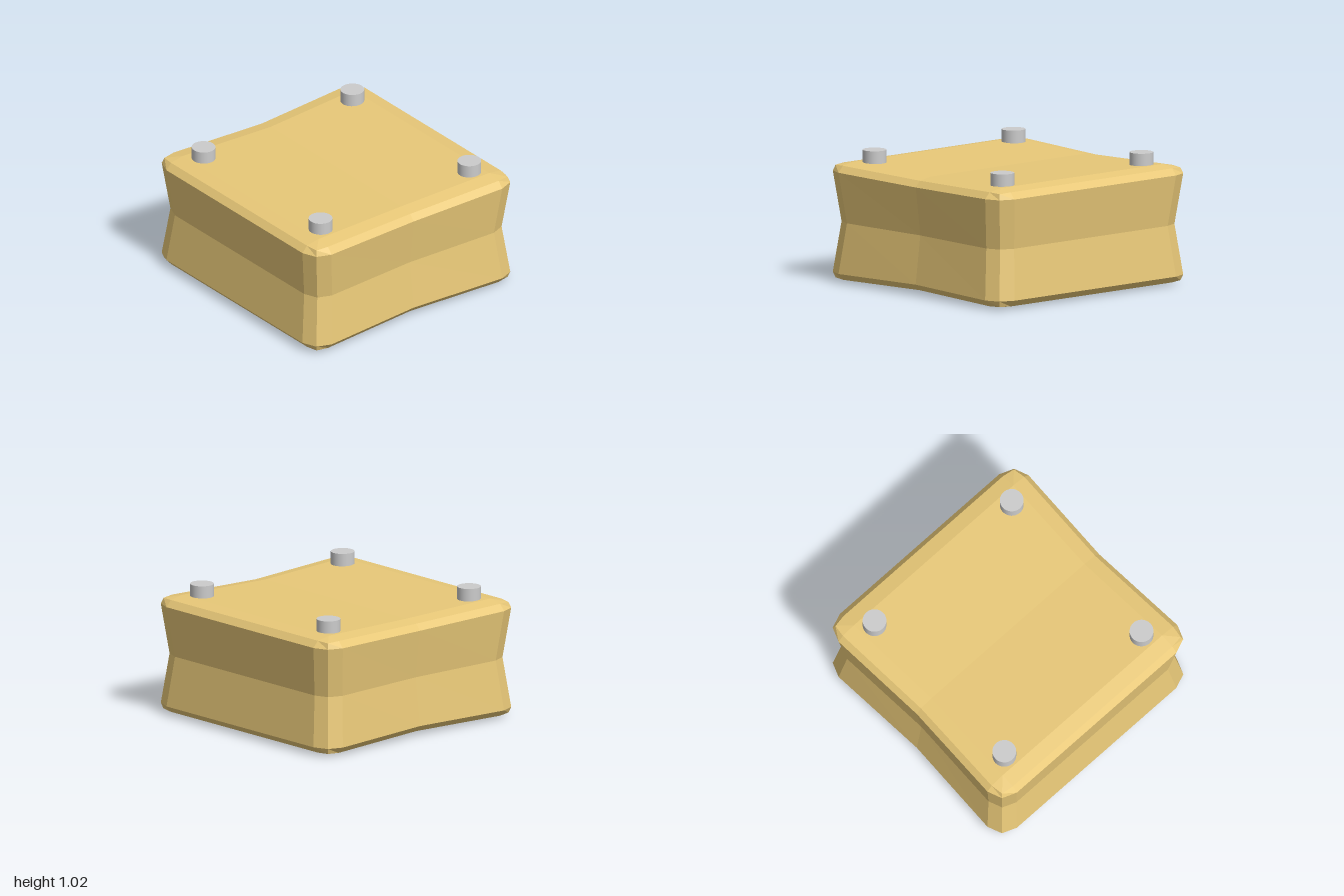
import * as THREE from 'three';

const MID = 0.465; // mid height of the body
const S = 0.84; // where the flat of each face ends

// One ring of 14 points: [y from middle, half extent, corner, corner y, pinch]
function ring([y, a, c, cy, pinch]) {
  const flat = [
    [a, 0, y], [a, S, y], [c, c, cy], [S, a, y],
    [-S, a, y], [-c, c, cy], [-a, S, y],
    [-a, 0, y], [-a, -S, y], [-c, -c, cy], [-S, -a, y],
    [S, -a, y], [c, -c, cy], [a, -S, y],
  ];
  return flat.map(([x, z, h]) => {
    const bow = z === 0 ? 0.96 : 1; // dip halfway along the depth
    return [x * pinch * bow, MID + h * bow, z * pinch];
  });
}

function bodyGeometry() {
  const upper = [
    [0.395, 1, 0.955, 0.395, 1],
    [0.445, 0.955, 0.94, 0.44, 1],
    [0.465, S, S, 0.465, 1],
  ];
  const lower = upper.map(([y, a, c, cy, p]) => [-y, a, c, -cy, p]).reverse();
  const rings = [...lower, [0, 1, 0.955, 0, 0.95], ...upper].map(ring);

  const pos = [];
  const tri = (a, b, c) => {
    const [A, B, C] = [a, b, c].map((p) => new THREE.Vector3(...p));
    if (new THREE.Triangle(A, B, C).getArea() > 1e-7) pos.push(...a, ...b, ...c);
  };
  const quad = (a, b, c, d) => { tri(a, b, c); tri(a, c, d); };

  // Walls and bevels
  for (let r = 0; r < rings.length - 1; r++) {
    const lo = rings[r], hi = rings[r + 1];
    for (let i = 0; i < 14; i++) {
      const j = (i + 1) % 14;
      quad(lo[i], hi[i], hi[j], lo[j]);
    }
  }
  // Top and bottom, each folded across the middle
  const top = rings[rings.length - 1], bottom = rings[0];
  for (const f of [[7, 6, 1, 0], [8, 7, 0, 13]]) {
    quad(...f.map((i) => top[i]));
    quad(...f.map((i) => bottom[i]).reverse());
  }

  const geo = new THREE.BufferGeometry();
  geo.setAttribute('position', new THREE.Float32BufferAttribute(pos, 3));
  geo.computeVertexNormals();
  return geo;
}

export function createModel() {
  const model = new THREE.Group();
  model.name = 'pinchedBlock';

  const body = new THREE.Mesh(
    bodyGeometry(),
    new THREE.MeshStandardMaterial({ color: 0xe8c878, flatShading: true })
  );
  body.name = 'body';
  model.add(body);

  // Four round pegs near the top corners
  const pegGeo = new THREE.CylinderGeometry(0.092, 0.092, 0.125, 32);
  const pegMat = new THREE.MeshStandardMaterial({ color: 0xcccccc });
  for (const x of [-0.72, 0.725]) {
    for (const z of [-0.735, 0.73]) {
      const peg = new THREE.Mesh(pegGeo, pegMat);
      peg.name = `${z > 0 ? 'front' : 'back'}${x > 0 ? 'Left' : 'Right'}Peg`;
      peg.position.set(x, 0.9625, z);
      model.add(peg);
    }
  }
  return model;
}
